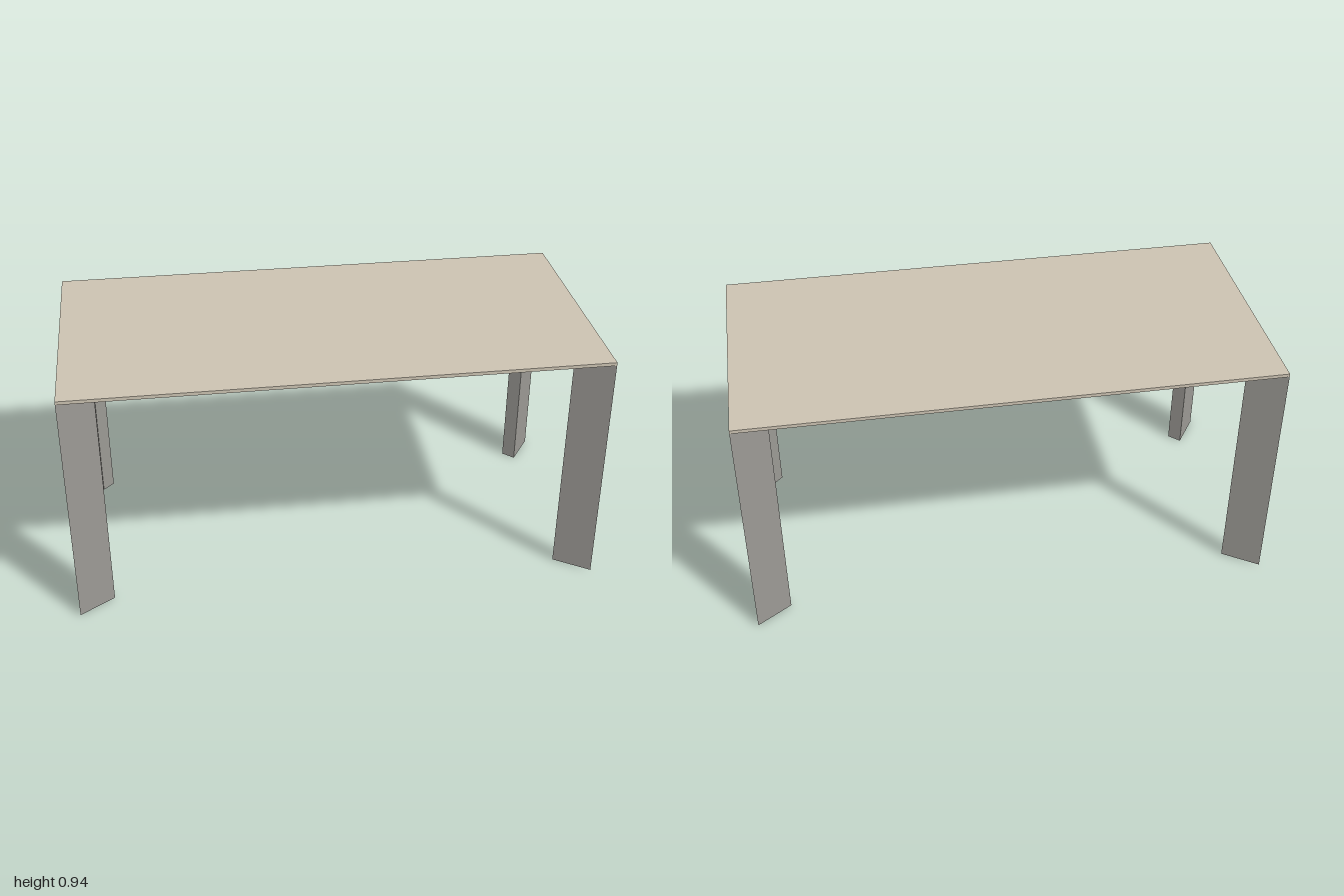
import * as THREE from 'three';

const HX = 1, HZ = 0.485;        // half length and half depth of the table
const UNDER = 0.925, TOP = 0.938; // underside and upper face of the top
const DEEP = 0.13, SHORT = 0.088; // insets of the wedge's two inner corners
const DROP = 0.035;              // height of the apron's inner edge

// Wedge-shaped leg: sharp edge at the table corner, broad face inwards
function legGeometry(sx, sz) {
  const shape = new THREE.Shape([
    new THREE.Vector2(sx * HX, -sz * HZ),
    new THREE.Vector2(sx * (HX - DEEP), -sz * (HZ - SHORT)),
    new THREE.Vector2(sx * (HX - SHORT), -sz * (HZ - DEEP)),
  ]);
  return new THREE.ExtrudeGeometry(shape, { depth: UNDER, bevelEnabled: false }).rotateX(-Math.PI / 2);
}

// Mitred apron along +z: sloping underside and upright inner face
function apronGeometry(half, edge) {
  const low = UNDER - DROP, inner = edge - DEEP, end = half - SHORT;
  const outerA = [-half, UNDER, edge], outerB = [half, UNDER, edge];
  const lowA = [-end, low, inner], lowB = [end, low, inner];
  const highA = [-end, UNDER, inner], highB = [end, UNDER, inner];
  const quad = (a, b, c, d) => [a, b, c, a, c, d];
  const points = [...quad(outerA, lowA, lowB, outerB), ...quad(lowA, highA, highB, lowB)].flat();
  const geometry = new THREE.BufferGeometry();
  geometry.setAttribute('position', new THREE.Float32BufferAttribute(points, 3));
  geometry.computeVertexNormals();
  return geometry;
}

export function createModel() {
  const model = new THREE.Group();
  model.name = 'table';
  const beige = new THREE.MeshStandardMaterial({ color: 0xcbc2b1 });
  beige.name = 'beige top';
  const grey = new THREE.MeshStandardMaterial({ color: 0x9b9994, side: THREE.DoubleSide });
  grey.name = 'grey frame';

  const add = (name, geometry, material) => {
    const mesh = new THREE.Mesh(geometry, material);
    mesh.name = name;
    model.add(mesh);
    return mesh;
  };

  // Table top
  add('tableTop', new THREE.BoxGeometry(2 * HX, TOP - UNDER, 2 * HZ), beige)
    .position.y = (TOP + UNDER) / 2;

  // Four corner legs
  for (const sx of [-1, 1]) {
    for (const sz of [-1, 1]) {
      add((sz > 0 ? 'front' : 'back') + (sx > 0 ? 'Left' : 'Right') + 'Leg', legGeometry(sx, sz), grey);
    }
  }

  // Aprons on all four sides
  ['frontApron', 'leftApron', 'backApron', 'rightApron'].forEach((name, i) => {
    const geometry = i % 2 ? apronGeometry(HZ, HX) : apronGeometry(HX, HZ);
    add(name, geometry, grey).rotation.y = i * Math.PI / 2;
  });

  // Cross bars under the top
  for (const x of [-0.3, 0.3]) {
    add('crossBar', new THREE.BoxGeometry(0.03, 0.02, 2 * (HZ - DEEP)), grey)
      .position.set(x, UNDER - 0.01, 0);
  }
  return model;
}
